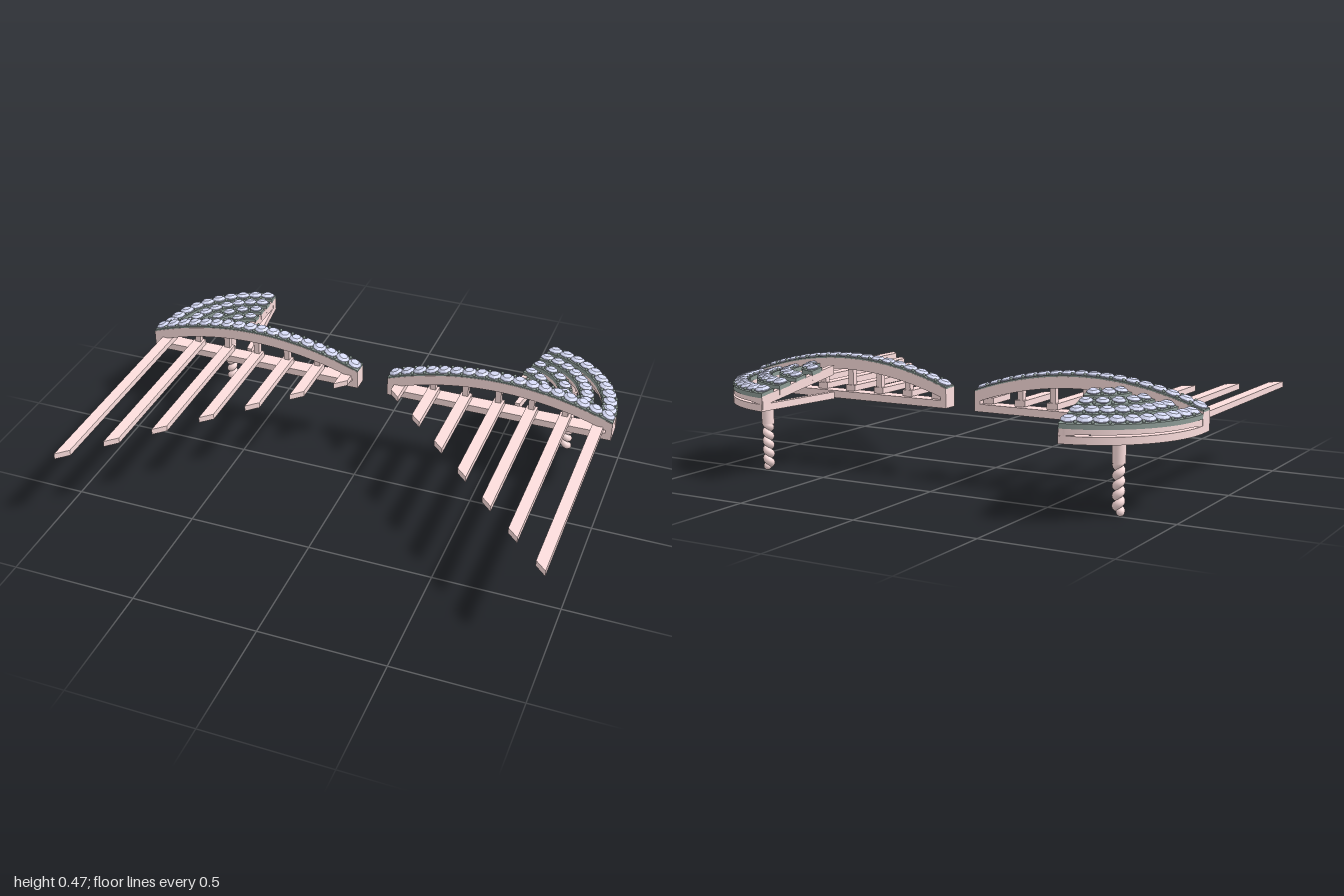
import * as THREE from 'three';
import { mergeGeometries, toCreasedNormals } from 'three/addons/utils/BufferGeometryUtils.js';

const metal = new THREE.MeshStandardMaterial({ color: 0xfcdedd });
const setting = new THREE.MeshStandardMaterial({ color: 0x8d9b96 });
const stone = new THREE.MeshStandardMaterial({ color: 0xd6daf6, flatShading: true });

const X0 = 0.065, X1 = 1, MID = (X0 + X1) / 2, HALF = (X1 - X0) / 2;
const Z0 = -0.28, Z1 = -0.215;            // back and front of the straight frame
const CX = 0.58, SWEEP = 1.43;            // centre and angle of the fan

const archY = x => 0.36 + 0.088 * (1 - ((x - MID) / HALF) ** 2);
const FALL = 0.2;                         // slope of the fan from its centre outward
const fanY = r => 0.433 - FALL * r;
const fanPoint = (r, a, y) => [CX + r * Math.cos(a), y, Z0 - r * Math.sin(a)];
const rows = [[0.09, 0.145], [0.18, 0.235], [0.265, 0.325], [0.355, 0.42]];

function add(group, name, geometry, material) {
  const mesh = new THREE.Mesh(geometry, material);
  mesh.name = name;
  group.add(mesh);
  return mesh;
}

// Solid through a row of four-cornered cross-sections
function loft(sections) {
  const index = [], last = (sections.length - 1) * 4;
  for (let i = 0; i < last; i += 4) {
    for (let j = 0; j < 4; j++) {
      const k = (j + 1) % 4;
      index.push(i + j, i + 4 + j, i + 4 + k, i + j, i + 4 + k, i + k);
    }
  }
  index.push(0, 1, 2, 0, 2, 3, last, last + 2, last + 1, last, last + 3, last + 2);
  const g = new THREE.BufferGeometry();
  g.setAttribute('position', new THREE.Float32BufferAttribute(sections.flat(2), 3));
  g.setIndex(index);
  return toCreasedNormals(g, 0.6);
}

// Curved band of the fan; low and high give heights from radius and progress
function arcBand(r0, r1, low, high, n = 28) {
  return loft(Array.from({ length: n + 1 }, (_, i) => {
    const t = i / n, a = t * SWEEP;
    return [fanPoint(r0, a, low(r0, t)), fanPoint(r1, a, low(r1, t)),
      fanPoint(r1, a, high(r1, t)), fanPoint(r0, a, high(r0, t))];
  }));
}

// Straight rail under the open edge of the fan
function edgeRail(low, high) {
  return loft([0.02, 0.415].map(r => {
    const w = 0.011, x = CX + r * Math.cos(SWEEP) + 0.012, z = Z0 - r * Math.sin(SWEEP);
    return [[x - w, low(r), z], [x + w, low(r), z], [x + w, high(r), z], [x - w, high(r), z]];
  }));
}

function extrudeZ(shape, z0, z1) {
  const g = new THREE.ExtrudeGeometry(shape, { depth: z1 - z0, bevelEnabled: false });
  return toCreasedNormals(g.translate(0, 0, z0), 0.5);
}

// Points along the arch, from left to right
const archPoints = (inset, drop, n = 28) => Array.from({ length: n + 1 }, (_, i) => {
  const x = X0 + inset + (X1 - X0 - 2 * inset) * i / n;
  return new THREE.Vector2(x, archY(x) - drop);
});

// Faceted round stone with a table, crown and pavilion
const stoneProfile = [[0, -0.6], [1, 0], [0.98, 0.1], [0.6, 0.4], [0, 0.4]]
  .map(p => new THREE.Vector2(...p));
const stoneShape = new THREE.LatheGeometry(stoneProfile, 8).toNonIndexed();
const beadShape = new THREE.IcosahedronGeometry(0.0065, 1);

function createStones() {
  const stones = [], beads = [], up = new THREE.Vector3(0, 1, 0);
  const place = (p, normal, size, spin) => {
    const q = new THREE.Quaternion().setFromUnitVectors(up, normal.normalize());
    q.multiply(new THREE.Quaternion().setFromAxisAngle(up, spin));
    stones.push(stoneShape.clone().applyMatrix4(new THREE.Matrix4().compose(
      new THREE.Vector3(...p), q, new THREE.Vector3(size, size, size))));
  };
  const bead = p => beads.push(beadShape.clone().translate(...p));

  // Row along the straight arch
  const count = 18, step = (X1 - X0) / count;
  for (let i = 0; i < count; i++) {
    const x = X0 + step * (i + 0.5), slope = -0.176 * (x - MID) / HALF ** 2;
    place([x, archY(x) + 0.006, (Z0 + Z1) / 2], new THREE.Vector3(-slope, 1, 0), 0.0295, i * 1.3);
    if (i) for (const z of [Z0 + 0.008, Z1 - 0.008]) {
      bead([x - step / 2, archY(x - step / 2) + 0.009, z]);
    }
  }
  // Rows around the fan
  for (const [r0, r1] of rows) {
    const r = (r0 + r1) / 2, n = Math.round(r * SWEEP / 0.054), size = (r1 - r0) * 0.485;
    for (let i = 0; i < n; i++) {
      const a = SWEEP * (i + 0.5) / n;
      place(fanPoint(r, a, fanY(r) + 0.006),
        new THREE.Vector3(FALL * Math.cos(a), 1, -FALL * Math.sin(a)), size, i * 1.7 + r);
      if (i) for (const rb of [r0 + 0.007, r1 - 0.007]) {
        bead(fanPoint(rb, SWEEP * i / n, fanY(rb) + 0.007));
      }
    }
  }
  return [mergeGeometries(stones), mergeGeometries(beads)];
}

function createHalf() {
  const half = new THREE.Group();

  // Straight arched frame with an open window
  const frame = new THREE.Shape([new THREE.Vector2(X1, 0.28), ...archPoints(0, 0.002).reverse(),
    new THREE.Vector2(X0, 0.28)]);
  frame.holes.push(new THREE.Path([new THREE.Vector2(X0 + 0.025, 0.31),
    ...archPoints(0.025, 0.046), new THREE.Vector2(X1 - 0.025, 0.31)]));
  add(half, 'archFrame', extrudeZ(frame, Z0, Z1), metal);
  const strip = new THREE.Shape([...archPoints(0, 0.004), ...archPoints(0, -0.004).reverse()]);
  add(half, 'archSetting', extrudeZ(strip, Z0 + 0.001, Z1 - 0.001), setting);

  // Slanted-tip rays and the small posts behind them
  for (let i = 0; i < 7; i++) {
    const x = 0.1175 + 0.1375 * i, tip = -0.138 + 0.1385 * i, w = 0.0225;
    const ray = new THREE.Shape([[x - w, 0.27], [x + w, 0.27], [x + w, -tip], [x - w, 0.043 - tip]]
      .map(p => new THREE.Vector2(...p)));
    // lay the outline flat: shape y becomes -z
    const g = new THREE.ExtrudeGeometry(ray, { depth: 0.024, bevelEnabled: false });
    add(half, 'ray', g.rotateX(-Math.PI / 2).translate(0, 0.312, 0.006), metal);
    const top = archY(x) - 0.03;
    add(half, 'rayPost', new THREE.BoxGeometry(0.024, top - 0.3, 0.024), metal)
      .position.set(x, (top + 0.3) / 2, (Z0 + Z1) / 2);
  }

  // Fan: lower rim, arched upper rim, end post and edge rails
  add(half, 'fanLowerRim', arcBand(0.385, 0.42, () => 0.28, () => 0.308), metal);
  add(half, 'fanUpperRim', arcBand(0.375, 0.418, (r, t) => 0.306 + 0.022 * Math.sin(Math.PI * t),
    r => fanY(r) - 0.012), metal);
  add(half, 'fanLowerRail', edgeRail(() => 0.28, () => 0.308), metal);
  add(half, 'fanUpperRail', edgeRail(r => fanY(r) - 0.05, r => fanY(r) - 0.012), metal);
  const [ex, , ez] = fanPoint(0.4, SWEEP, 0);
  add(half, 'fanEndPost', new THREE.BoxGeometry(0.025, 0.05, 0.03), metal)
    .position.set(ex + 0.013, 0.312, ez);

  // Curved stone channels
  for (const [r0, r1] of rows) {
    add(half, 'fanChannel', arcBand(r0 + 0.002, r1 - 0.002, r => fanY(r) - 0.035, r => fanY(r) - 0.012), metal);
    add(half, 'fanSetting', arcBand(r0, r1, r => fanY(r) - 0.016, r => fanY(r) + 0.002), setting);
  }

  const [stones, beads] = createStones();
  add(half, 'stones', stones, stone);
  add(half, 'settingBeads', beads, setting);

  // Stem with a corkscrew end
  const stem = new THREE.Group();
  stem.name = 'stem';
  stem.position.set(0.775, 0, -0.492);
  add(stem, 'stemNeck', new THREE.CylinderGeometry(0.017, 0.017, 0.09, 20), metal).position.y = 0.325;
  add(stem, 'stemSleeve', new THREE.CylinderGeometry(0.025, 0.025, 0.1, 24), metal).position.y = 0.24;
  const points = Array.from({ length: 61 }, (_, i) => {
    const t = i / 60, a = t * Math.PI * 10;
    return new THREE.Vector3(0.008 * Math.cos(a), 0.016 + 0.182 * t, 0.008 * Math.sin(a));
  });
  add(stem, 'screw', new THREE.TubeGeometry(new THREE.CatmullRomCurve3(points), 150, 0.016, 12), metal);
  add(stem, 'screwTip', new THREE.SphereGeometry(0.016, 12, 10), metal).position.copy(points[0]);
  half.add(stem);
  return half;
}

export function createModel() {
  const model = new THREE.Group();
  const left = createHalf();
  left.name = 'leftOrnament';
  const right = left.clone();
  right.name = 'rightOrnament';
  right.scale.x = -1;
  model.add(left, right);
  return model;
}
